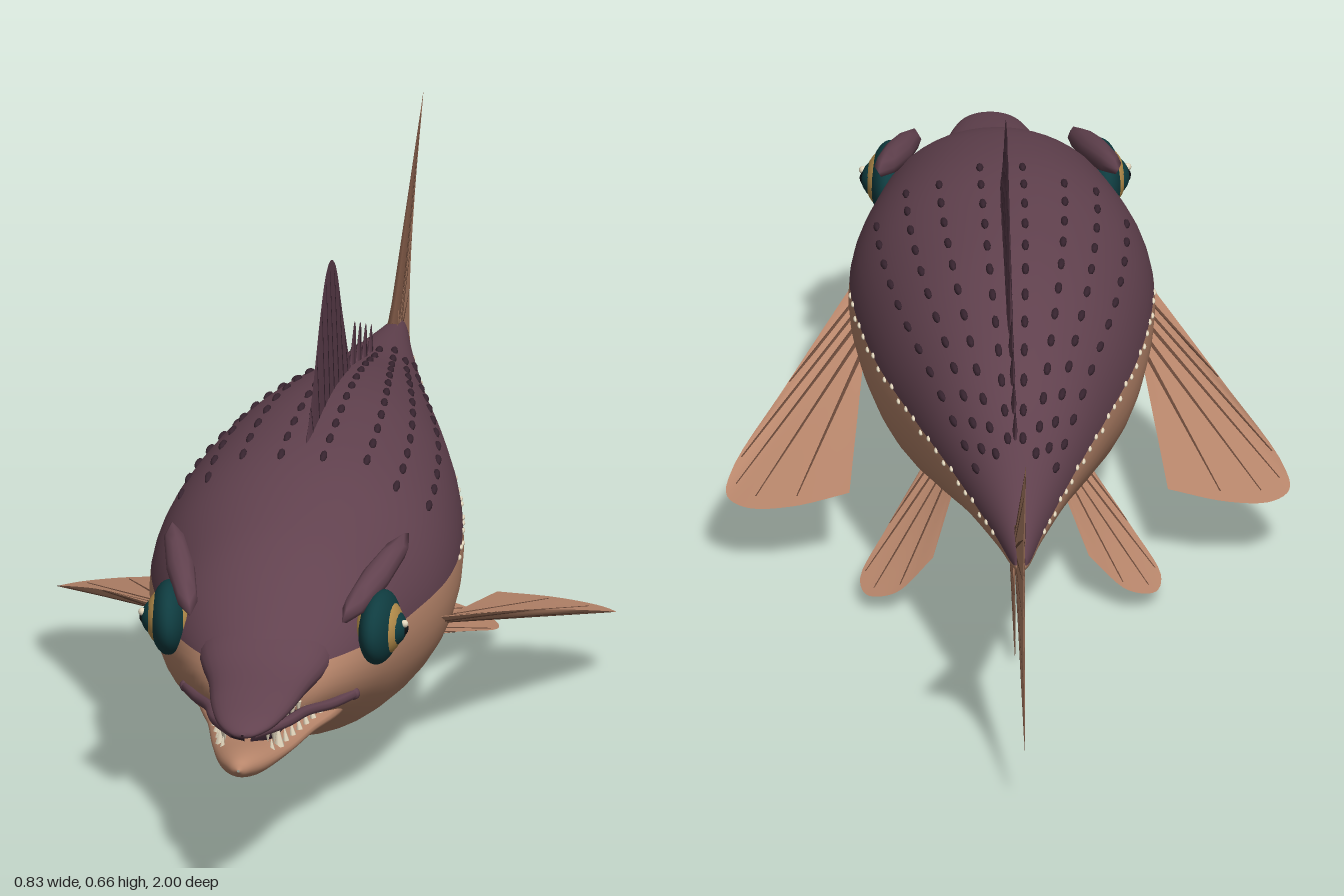
import * as THREE from 'three';
import { mergeGeometries } from 'three/addons/utils/BufferGeometryUtils.js';

const V = (x, y, z) => new THREE.Vector3(x, y, z);
const mat = (name, color, side = THREE.FrontSide) => {
  const m = new THREE.MeshStandardMaterial({ color, side });
  m.name = name;
  return m;
};

// Smooth interpolation of section rows [z, top, bottom, halfWidth], listed tail to nose
function sections(rows) {
  const a = new THREE.CatmullRomCurve3(rows.map(r => V(r[0], r[1], r[2])), false, 'catmullrom');
  const b = new THREE.CatmullRomCurve3(rows.map(r => V(r[0], r[3], 0)), false, 'catmullrom');
  const at = t => {
    const p = a.getPoint(t), q = b.getPoint(t);
    return { z: p.x, cy: (p.y + p.z) / 2, h: Math.max((p.y - p.z) / 2, 0.001), w: Math.max(q.y, 0.001) };
  };
  const atZ = z => {
    let lo = 0, hi = 1;
    for (let i = 0; i < 24; i++) {
      const m = (lo + hi) / 2;
      if (at(m).z < z) lo = m; else hi = m;
    }
    return at(lo);
  };
  return { at, atZ };
}

// Loft of elliptical rings, split into an upper and a lower material at height splitY
function loft(sec, rings, n, splitY) {
  const pos = [], upper = [], lower = [], N = 2 * n;
  for (let i = 0; i <= rings; i++) {
    const s = sec.at(i / rings);
    const a0 = splitY === undefined ? 0 : Math.asin(THREE.MathUtils.clamp((splitY - s.cy) / s.h, -0.9, 0.9));
    for (let j = 0; j < N; j++) {
      const a = j < n ? a0 + (Math.PI - 2 * a0) * j / n : Math.PI - a0 + (Math.PI + 2 * a0) * (j - n) / n;
      pos.push(s.w * Math.cos(a), s.cy + s.h * Math.sin(a), s.z);
    }
  }
  for (let i = 0; i < rings; i++) for (let j = 0; j < N; j++) {
    const a = i * N + j, b = i * N + (j + 1) % N, c = b + N, d = a + N;
    (j < n ? upper : lower).push(a, b, d, b, c, d);
  }
  const g = new THREE.BufferGeometry();
  g.setAttribute('position', new THREE.Float32BufferAttribute(pos, 3));
  g.setIndex([...upper, ...lower]);
  g.addGroup(0, upper.length, 0);
  g.addGroup(upper.length, lower.length, 1);
  g.computeVertexNormals();
  return g;
}

// Thin spindle pointing along dir
function spindle(p, dir, r, len) {
  const g = new THREE.SphereGeometry(1, 8, 6);
  g.scale(r, r, len);
  g.applyQuaternion(new THREE.Quaternion().setFromUnitVectors(V(0, 0, 1), dir.clone().normalize()));
  return g.translate(p.x, p.y, p.z);
}

// Tapered rod from a to b
function rod(a, b, r0, r1, sides = 6) {
  const d = b.clone().sub(a);
  const g = new THREE.CylinderGeometry(r1, r0, d.length(), sides);
  g.applyQuaternion(new THREE.Quaternion().setFromUnitVectors(V(0, 1, 0), d.normalize()));
  const m = a.clone().add(b).multiplyScalar(0.5);
  return g.translate(m.x, m.y, m.z);
}

// Fin: lens-thin membrane between a root curve and an outer edge, with rays
function makeFin(name, root, edge, skin, rayMat, rays, thick) {
  const R = new THREE.CatmullRomCurve3(root), E = new THREE.CatmullRomCurve3(edge);
  const nu = 28, nv = 6;
  const normal = E.getPoint(0.5).sub(R.getPoint(0.5)).cross(R.getPoint(1).sub(R.getPoint(0))).normalize();
  const sheets = [1, -1].map(s => {
    const pos = [], idx = [];
    for (let i = 0; i <= nu; i++) for (let j = 0; j <= nv; j++) {
      const v = j / nv;
      const p = R.getPoint(i / nu).lerp(E.getPoint(i / nu), v).addScaledVector(normal, s * thick * (1 - v));
      pos.push(p.x, p.y, p.z);
      if (i < nu && j < nv) {
        const a = i * (nv + 1) + j, b = a + 1, c = b + nv + 1, d = c - 1;
        if (s > 0) idx.push(a, d, b, b, d, c); else idx.push(a, b, d, b, c, d);
      }
    }
    const g = new THREE.BufferGeometry();
    g.setAttribute('position', new THREE.Float32BufferAttribute(pos, 3));
    g.setIndex(idx);
    g.computeVertexNormals();
    return g;
  });
  const group = new THREE.Group();
  group.name = name;
  const membrane = new THREE.Mesh(mergeGeometries(sheets), skin);
  membrane.name = name + 'Membrane';
  group.add(membrane);
  if (rays) {
    const list = [];
    for (let k = 1; k <= rays; k++) {
      const a = R.getPoint(k / (rays + 1)), b = E.getPoint(k / (rays + 1));
      list.push(rod(a, a.clone().lerp(b, 0.93), thick + 0.0012, 0.001));
    }
    const m = new THREE.Mesh(mergeGeometries(list), rayMat);
    m.name = name + 'Rays';
    group.add(m);
  }
  return group;
}

export function createModel() {
  const model = new THREE.Group();
  model.name = 'fish';
  const plum = mat('plum back', 0x62424f), tan = mat('tan belly', 0xb8866b);
  const plumFin = mat('plum fin', 0x5f3f4e, THREE.DoubleSide), tanFin = mat('tan fin', 0xb8866b, THREE.DoubleSide);
  const darkPlum = mat('dark plum', 0x37242f), ray = mat('fin ray brown', 0x6b4a3a);
  const teal = mat('dark teal', 0x0f3c40), gold = mat('gold', 0xb48c4a);
  const black = mat('pupil black', 0x0a0e12), cream = mat('cream', 0xe6dac0);
  const add = (name, geo, material, parent = model) => {
    const m = new THREE.Mesh(geo, material);
    m.name = name;
    parent.add(m);
    return m;
  };

  // Body
  const bodySec = sections([
    [-0.73, 0.302, 0.296, 0.003], [-0.72, 0.315, 0.278, 0.014], [-0.6, 0.338, 0.25, 0.04], [-0.4, 0.374, 0.2, 0.09],
    [-0.2, 0.425, 0.135, 0.145], [0, 0.46, 0.078, 0.195], [0.2, 0.47, 0.065, 0.223], [0.35, 0.462, 0.07, 0.222],
    [0.5, 0.433, 0.093, 0.192], [0.6, 0.398, 0.135, 0.163], [0.7, 0.345, 0.178, 0.115], [0.76, 0.305, 0.205, 0.068], [0.775, 0.27, 0.24, 0.01],
  ]);
  add('body', loft(bodySec, 72, 24, 0.293), [plum, tan]);

  // Jaws
  add('upperJaw', loft(sections([
    [0.6, 0.36, 0.25, 0.1], [0.7, 0.338, 0.242, 0.1], [0.78, 0.307, 0.24, 0.075], [0.86, 0.29, 0.243, 0.06],
    [0.92, 0.276, 0.245, 0.042], [0.95, 0.263, 0.248, 0.02], [0.957, 0.256, 0.253, 0.002],
  ]), 30, 14), [plum, plum]);
  add('lowerJaw', loft(sections([
    [0.55, 0.23, 0.14, 0.11], [0.66, 0.222, 0.165, 0.105], [0.75, 0.217, 0.176, 0.08], [0.85, 0.22, 0.181, 0.06],
    [0.94, 0.23, 0.187, 0.038], [0.985, 0.228, 0.2, 0.018], [1, 0.216, 0.212, 0.002],
  ]), 30, 14), [tan, tan]);
  add('mouthInterior', loft(sections([
    [0.65, 0.25, 0.2, 0.09], [0.76, 0.25, 0.2, 0.055], [0.86, 0.25, 0.205, 0.035], [0.9, 0.245, 0.22, 0.005],
  ]), 12, 8), [darkPlum, darkPlum]);

  // Teeth, lips, brows, eyes
  const teeth = [];
  for (const s of [1, -1]) {
    const side = s > 0 ? 'left' : 'right';
    for (let i = 0; i < 8; i++) {
      const z = 0.72 + i * 0.026, x = s * (0.083 - i * 0.0065), big = i === 6 ? 1.6 : 1;
      teeth.push(rod(V(x, 0.212, z), V(x * 0.95, 0.212 + 0.02 * big, z), 0.005 * big, 0.0005));
      teeth.push(rod(V(x * 0.85, 0.25, z + 0.01), V(x * 0.85, 0.25 - 0.019 * big, z + 0.01), 0.005 * big, 0.0005));
    }
    const lip = new THREE.CatmullRomCurve3([V(s * 0.125, 0.222, 0.66), V(s * 0.1, 0.226, 0.72),
      V(s * 0.072, 0.238, 0.79), V(s * 0.052, 0.247, 0.87), V(s * 0.012, 0.252, 0.945)]);
    add(side + 'Lip', new THREE.TubeGeometry(lip, 24, 0.008, 8), plum);
    add(side + 'LipCorner', new THREE.SphereGeometry(0.0095, 10, 8).translate(s * 0.125, 0.222, 0.66), plum);
    add(side + 'Brow', spindle(V(s * 0.145, 0.372, 0.57), V(s * -0.055, -0.045, 0.22), 0.021, 0.135), plum);

    const eye = new THREE.Group();
    eye.name = side + 'Eye';
    eye.position.set(s * 0.157, 0.311, 0.612);
    eye.rotation.y = s * (Math.PI / 2 - 0.1);
    model.add(eye);
    [['eyeRim', teal, 0.07, 0.054, 0.028], ['eyeRing', gold, 0.054, 0.045, 0.035],
      ['iris', teal, 0.041, 0.034, 0.041], ['pupil', black, 0.024, 0.022, 0.0435]].forEach(([n, m, x, y, z]) =>
      add(n, new THREE.SphereGeometry(1, 28, 18).scale(x, y, z), m, eye));
    add('glint', new THREE.SphereGeometry(0.006, 8, 6).translate(-s * 0.006, 0.01, 0.039), cream, eye);

    // Paired fins
    model.add(makeFin(side + 'PectoralFin',
      [V(s * 0.2, 0.25, 0.4), V(s * 0.212, 0.215, 0.3), V(s * 0.208, 0.185, 0.2)],
      [V(s * 0.212, 0.25, 0.39), V(s * 0.325, 0.183, 0.15), V(s * 0.405, 0.128, -0.01), V(s * 0.415, 0.108, -0.065),
        V(s * 0.385, 0.104, -0.1), V(s * 0.32, 0.11, -0.11), V(s * 0.235, 0.122, -0.09)], tanFin, ray, 5, 0.004));
    model.add(makeFin(side + 'PelvicFin',
      [V(s * 0.11, 0.105, 0.09), V(s * 0.1, 0.1, 0.02), V(s * 0.085, 0.105, -0.06)],
      [V(s * 0.118, 0.1, 0.07), V(s * 0.18, 0.06, -0.08), V(s * 0.222, 0.028, -0.19), V(s * 0.21, 0.023, -0.24),
        V(s * 0.17, 0.035, -0.255), V(s * 0.115, 0.07, -0.21)], tanFin, ray, 4, 0.004));
  }
  add('teeth', mergeGeometries(teeth), cream);

  // Fins on the centre line
  const top = z => { const q = bodySec.atZ(z); return q.cy + q.h; };
  const flat = pts => pts.map(([z, y]) => V(0, y, z));
  model.add(makeFin('dorsalFin', flat([[0.28, 0.455], [0.1, 0.455], [-0.05, 0.44], [-0.2, 0.415]]),
    flat([[0.28, 0.46], [0.2, 0.525], [0.12, 0.61], [0.06, 0.655], [0.01, 0.663], [-0.05, 0.635], [-0.12, 0.54], [-0.2, 0.43]]),
    plumFin, darkPlum, 8, 0.005));
  for (let i = 0; i < 4; i++) {
    const z = -0.2 - i * 0.065, y = top(z) - 0.008, k = 1 - i * 0.1;
    model.add(makeFin('finlet' + (i + 1), flat([[z, y], [z - 0.025, y - 0.007], [z - 0.05, y - 0.014]]),
      flat([[z, y], [z - 0.025 * k, y + 0.035 * k], [z - 0.055 * k, y + 0.058 * k], [z - 0.07 * k, y + 0.035 * k], [z - 0.05, y - 0.014]]),
      plumFin, darkPlum, 1, 0.004));
  }
  model.add(makeFin('analFin', flat([[-0.08, 0.115], [-0.18, 0.145], [-0.3, 0.175]]),
    flat([[-0.09, 0.105], [-0.22, 0.06], [-0.35, 0.015], [-0.42, 0.002], [-0.44, 0.025], [-0.4, 0.085], [-0.3, 0.15]]),
    tanFin, ray, 5, 0.004));
  model.add(makeFin('tailFin', flat([[-0.66, 0.325], [-0.69, 0.298], [-0.66, 0.272]]),
    flat([[-0.76, 0.375], [-0.88, 0.452], [-0.998, 0.575], [-0.915, 0.465], [-0.86, 0.36], [-0.845, 0.28],
      [-0.86, 0.205], [-0.955, 0.085], [-0.86, 0.14], [-0.74, 0.225]]), tanFin, ray, 9, 0.008));

  // Rows of small scutes on the back, pale flecks along the flank
  const scutes = [], flecks = [];
  const onBody = (z, a, s) => {
    const q = bodySec.atZ(z);
    return V(s * q.w * Math.sin(a), q.cy + q.h * Math.cos(a), z);
  };
  for (const s of [1, -1]) {
    [0.14, 0.42, 0.67, 0.95].forEach((a, r) => {
      for (let i = 0; i < 12; i++) {
        const z = 0.31 - i * 0.068 - (r % 2) * 0.03;
        const p = onBody(z, a, s);
        scutes.push(spindle(p, onBody(z - 0.03, a, s).sub(p).add(V(0, 0.003, 0)), 0.0055, 0.017));
      }
    });
    for (let i = 0; i < 24; i++) {
      const z = 0.24 - i * 0.037, q = bodySec.atZ(z);
      const a = Math.acos(THREE.MathUtils.clamp((0.291 + 0.004 * Math.sin(i * 2.3) - q.cy) / q.h, -1, 1));
      flecks.push(spindle(onBody(z, a, s), V(0, 0, 1), 0.0035, 0.009));
    }
  }
  add('backScutes', mergeGeometries(scutes), darkPlum);
  add('flankFlecks', mergeGeometries(flecks), cream);
  return model;
}
